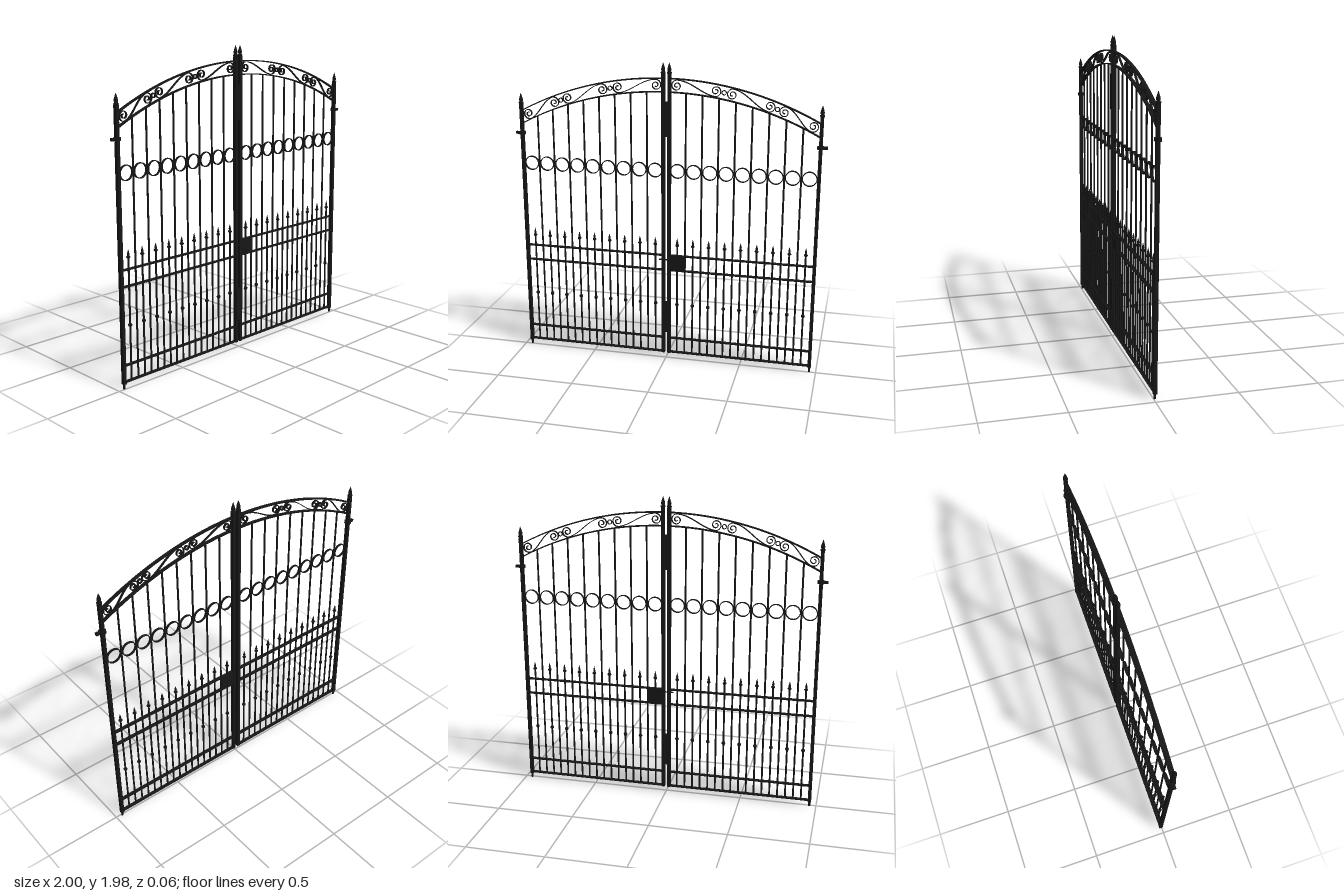
import * as THREE from 'three';

const iron = new THREE.MeshStandardMaterial({ color: 0x161616 });
iron.name = 'black iron';

const Z = -0.008;                 // plane of the gate
const POST_X = 0.957, MEET_X = 0.0195;
const R = 2.017;                  // radius of the arches
const archY = (x, top) => top - R + Math.sqrt(R * R - x * x);
const OUTER = 1.882, INNER = 1.798, MIDDLE = 1.84;

function add(parent, name, geometry, x = 0, y = 0, z = 0) {
  const mesh = new THREE.Mesh(geometry, iron);
  mesh.name = name;
  mesh.position.set(x, y, z);
  parent.add(mesh);
  return mesh;
}

const box = (w, h, d) => new THREE.BoxGeometry(w, h, d);
const lathe = (pts, n = 12) => new THREE.LatheGeometry(pts.map(p => new THREE.Vector2(...p)), n);

function extrude(shape, depth, curveSegments = 16) {
  const g = new THREE.ExtrudeGeometry(shape, { depth, bevelEnabled: false, curveSegments });
  return g.translate(0, 0, -depth / 2);
}

// Flat bar following a 2D path
function ribbon(points, width, depth) {
  const left = [], right = [];
  points.forEach((p, i) => {
    const a = points[Math.max(i - 1, 0)], b = points[Math.min(i + 1, points.length - 1)];
    const t = b.clone().sub(a).normalize().multiplyScalar(width / 2);
    left.push(new THREE.Vector2(p.x - t.y, p.y + t.x));
    right.unshift(new THREE.Vector2(p.x + t.y, p.y - t.x));
  });
  return extrude(new THREE.Shape([...left, ...right]), depth);
}

function ring(radius, width, depth) {
  const s = new THREE.Shape().absarc(0, 0, radius, 0, Math.PI * 2);
  s.holes.push(new THREE.Path().absarc(0, 0, radius - width, 0, Math.PI * 2, true));
  return extrude(s, depth);
}

function arch(side, top) {
  const pts = [];
  for (let i = 0; i <= 28; i++) {
    const x = MEET_X + (POST_X - MEET_X) * i / 28;
    pts.push(new THREE.Vector2(side * x, archY(x, top)));
  }
  return ribbon(pts, 0.007, 0.022);
}

// S-scroll with a spiral at both ends, bent along the arch
function scroll(side, x0, x1) {
  const u0 = R * Math.asin(x0 / R), u1 = R * Math.asin(x1 / R), mid = (u0 + u1) / 2;
  const half = [];
  const rOut = 0.035, turns = 1.6, n = 36;
  for (let i = 0; i <= n; i++) {
    const k = i / n, a = Math.PI / 2 + (1 - k) * turns * Math.PI * 2;
    const r = 0.007 + (rOut - 0.007) * k;
    half.push([u0 + r * Math.cos(a), r * Math.sin(a)]);
  }
  const span = mid - u0;
  for (let i = 1; i <= 8; i++) {   // easing wave down to the middle
    const k = i / 8;
    half.push([u0 + span * k, rOut * Math.cos(k * Math.PI / 2)]);
  }
  const other = half.slice(0, -1).reverse().map(([u, v]) => [2 * mid - u, -v]);
  const pts = [...half, ...other].map(([u, v]) => new THREE.Vector2(
    side * Math.sin(u / R) * (R + v), MIDDLE - R + Math.cos(u / R) * (R + v)));
  return ribbon(pts, 0.0045, 0.014);
}

const finial = lathe([[0, 0], [0.012, 0], [0.016, 0.004], [0.016, 0.009], [0.01, 0.013],
  [0.013, 0.024], [0.011, 0.036], [0.005, 0.055], [0, 0.07]]);
const spear = lathe([[0, 0], [0.006, 0], [0.0125, 0.007], [0.0125, 0.012], [0.006, 0.019],
  [0.0075, 0.028], [0.004, 0.043], [0, 0.058]], 8);
const knob = new THREE.SphereGeometry(0.0125, 10, 8);
const circle = ring(0.047, 0.005, 0.014);
const smallRing = ring(0.015, 0.004, 0.014);

function post(leaf, name, x, y0, y1) {
  add(leaf, name, box(0.021, y1 - y0, 0.023), x, (y0 + y1) / 2);
  add(leaf, name + 'Finial', finial, x, y1);
}

function gateLeaf(side) {
  const leaf = new THREE.Group();
  leaf.name = side > 0 ? 'leftLeaf' : 'rightLeaf';
  leaf.position.z = Z;

  // Posts, foot pivot and upper hinge
  post(leaf, 'hingePost', side * POST_X, 0.03, 1.686);
  post(leaf, 'meetingPost', side * MEET_X, 0.035, 1.911);
  add(leaf, 'footPivot', new THREE.CylinderGeometry(0.008, 0.007, 0.03, 10), side * POST_X, 0.015);
  add(leaf, 'hingeCollar', new THREE.CylinderGeometry(0.022, 0.022, 0.018, 16), side * POST_X, 1.496);
  add(leaf, 'hingePin', box(0.05, 0.016, 0.018), side * 0.975, 1.496);

  // Flat horizontal rails
  for (const y of [0.042, 0.144, 0.627, 0.729])
    add(leaf, 'rail', box(POST_X - MEET_X, 0.008, 0.022), side * (POST_X + MEET_X) / 2, y);

  // Short spear bars with rings above, tall bars between them
  for (let i = 0; i < 9; i++) {
    const x = 0.0728 + 0.1034 * i;
    add(leaf, 'spearBar', new THREE.CylinderGeometry(0.006, 0.006, 0.755, 8), side * x, 0.4175);
    add(leaf, 'spearTip', spear, side * x, 0.792);
    add(leaf, 'barKnob', knob, side * x, 0.387);
    add(leaf, 'circle', circle, side * x, 1.297);
    if (i === 8) continue;
    const tx = x + 0.0517, h = archY(tx, INNER) - 0.042;
    add(leaf, 'tallBar', new THREE.CylinderGeometry(0.006, 0.006, h, 8), side * tx, 0.042 + h / 2);
  }

  // Arched top with scrollwork
  add(leaf, 'outerArch', arch(side, OUTER));
  add(leaf, 'innerArch', arch(side, INNER));
  for (const [a, b] of [[0.066, 0.31], [0.412, 0.642], [0.732, 0.908]])
    add(leaf, 'scroll', scroll(side, a, b));
  for (const x of [0.361, 0.688])
    add(leaf, 'smallRing', smallRing, side * x, archY(x, MIDDLE));
  return leaf;
}

export function createModel() {
  const gate = new THREE.Group();
  gate.name = 'doubleGate';
  gate.add(gateLeaf(1), gateLeaf(-1));

  // Cover plates over the gap between the leaves
  for (const y of [1.63, 0.3])
    add(gate, 'coverPlate', box(0.05, 0.222, 0.004), 0, y, 0.005);

  // Lock case, latch bar and ring handle
  const lock = new THREE.Group();
  lock.name = 'lock';
  gate.add(lock);
  add(lock, 'lockCase', box(0.105, 0.1, 0.024), 0.07, 0.678, Z + 0.001);
  add(lock, 'latchBar', box(0.16, 0.007, 0.007), 0.035, 0.704, 0.008);
  add(lock, 'ringHandle', new THREE.TorusGeometry(0.012, 0.003, 8, 20), 0.037, 0.657, 0.016)
    .rotation.y = Math.PI / 2;
  return gate;
}
